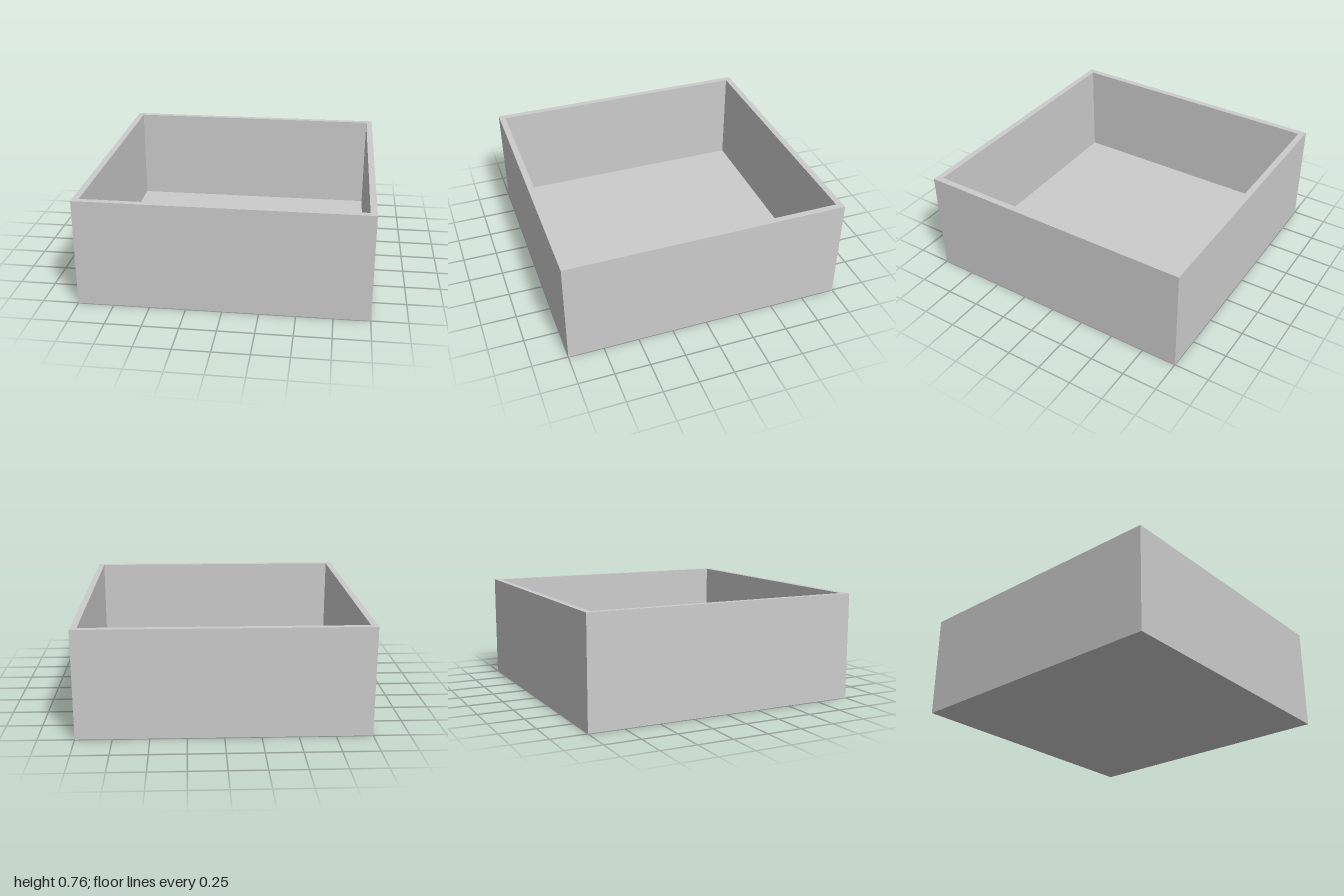
import * as THREE from 'three';

const HEIGHT = 0.762, WALL = 0.045, FLOOR = 0.048;

export function createModel() {
  const model = new THREE.Group();
  model.name = 'openBox';

  // Half cross-section of the tray: underside, outer wall, rim, inner wall, floor
  const inner = 1 - WALL;
  const profile = [
    [0, 0], [1, 0], [1, HEIGHT], [inner, HEIGHT], [inner, FLOOR], [0, FLOOR],
  ].map(([half, y]) => new THREE.Vector2(half * Math.SQRT2, y));

  // Four lathe segments turned by 45 degrees give a square, hollow, closed body
  const geometry = new THREE.LatheGeometry(profile, 4, Math.PI / 4).toNonIndexed();
  geometry.computeVertexNormals();

  const tray = new THREE.Mesh(
    geometry,
    new THREE.MeshStandardMaterial({ color: 0xcccccc, flatShading: true }),
  );
  tray.name = 'tray';
  model.add(tray);
  return model;
}
